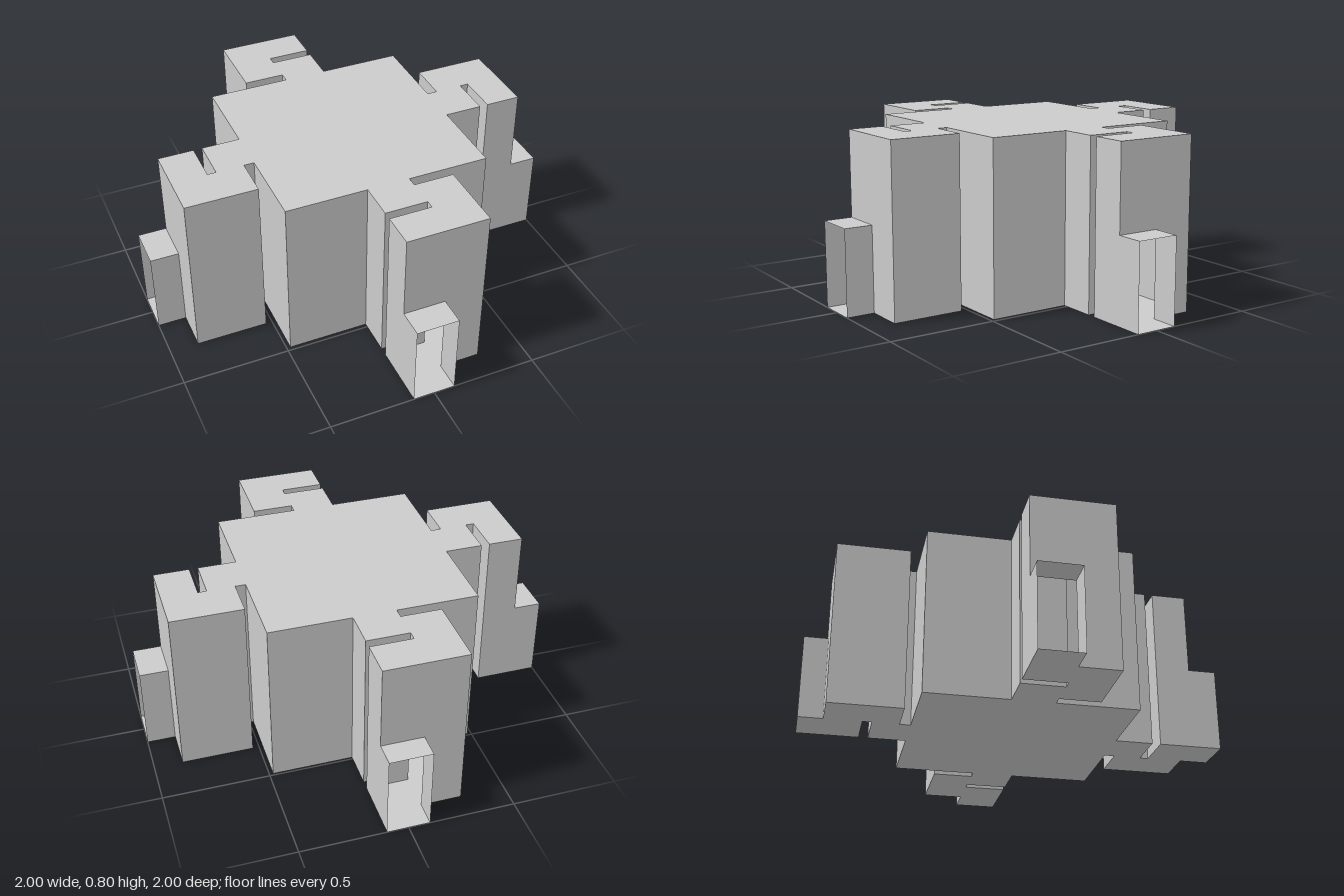
import * as THREE from 'three';
import { mergeGeometries } from 'three/addons/utils/BufferGeometryUtils.js';

const H = 0.8, PORCH_H = 0.4, W = 0.1, SIDE = 0.29;
const CORE = 0.482, BACK = 0.49;

// distances outward along an arm: core wall, bend start, slot start, slot end, bend end, tip
const ARM = [CORE, 0.53, 0.66, 0.7, 0.867, 1];
const BACK_ARM = [BACK, 0.54, 0.667, 0.71, 0.885, 1];
const NAMES = ['front', 'left', 'back', 'right'];
const CORNERS = [[CORE, CORE], [CORE, -BACK], [-CORE, -BACK], [-CORE, CORE]];

// quarter turns of (across, outward) into (x, z)
const turn = ([u, d], k) => [[u, d], [d, -u], [-u, -d], [-d, u]][k];

// upright panel from a to b, facing outward
function panel(a, b, y0, y1) {
  const dx = b[0] - a[0], dz = b[1] - a[1];
  return new THREE.PlaneGeometry(Math.hypot(dx, dz), y1 - y0)
    .rotateY(Math.atan2(-dz, dx))
    .translate((a[0] + b[0]) / 2, (y0 + y1) / 2, (a[1] + b[1]) / 2);
}

// horizontal slab face over an outline, facing up or down
function sheet(points, y, up) {
  const s = up ? -1 : 1;
  const shape = new THREE.Shape(points.map(([x, z]) => new THREE.Vector2(x, s * z)));
  return new THREE.ShapeGeometry(shape).rotateX(s * Math.PI / 2).translate(0, y, 0);
}

export function createModel() {
  const model = new THREE.Group();
  const material = new THREE.MeshStandardMaterial({
    color: 0xcccccc, flatShading: true, side: THREE.DoubleSide,
  });
  const add = (name, geometry) => {
    const mesh = new THREE.Mesh(geometry, material);
    mesh.name = name;
    model.add(mesh);
  };

  const outline = [];
  NAMES.forEach((name, k) => {
    const d = k === 2 ? BACK_ARM : ARM;
    // zigzag corridor, ending at the next corner of the core
    const path = [
      [-W, d[0]], [-W, d[2]], [W, d[2]], [W, d[3]], [-W, d[3]], [-W, d[4]],
      [W, d[4]], [SIDE, d[4]], [SIDE, d[1]], [W, d[1]], [W, d[0]],
    ].map(p => turn(p, k));
    const prevCorner = CORNERS[(k + 3) % 4];
    const run = [prevCorner, ...path, CORNERS[k]];
    const walls = [];
    for (let i = 0; i < run.length - 1; i++) {
      // the wall above the doorway starts at the porch roof
      walls.push(panel(run[i], run[i + 1], i === 6 ? PORCH_H : 0, H));
    }
    add(name + 'CorridorWalls', mergeGeometries(walls));
    outline.push(...path, CORNERS[k]);

    // low porch with an open end
    const [a, b, c, e] = [[-W, d[4]], [-W, d[5]], [W, d[5]], [W, d[4]]].map(p => turn(p, k));
    add(name + 'Porch', mergeGeometries([
      panel(a, b, 0, PORCH_H), panel(c, e, 0, PORCH_H),
      sheet([a, b, c, e], PORCH_H, true), sheet([a, b, c, e], 0, false),
    ]));
  });

  add('roof', sheet(outline, H, true));
  add('floor', sheet(outline, 0, false));
  return model;
}
